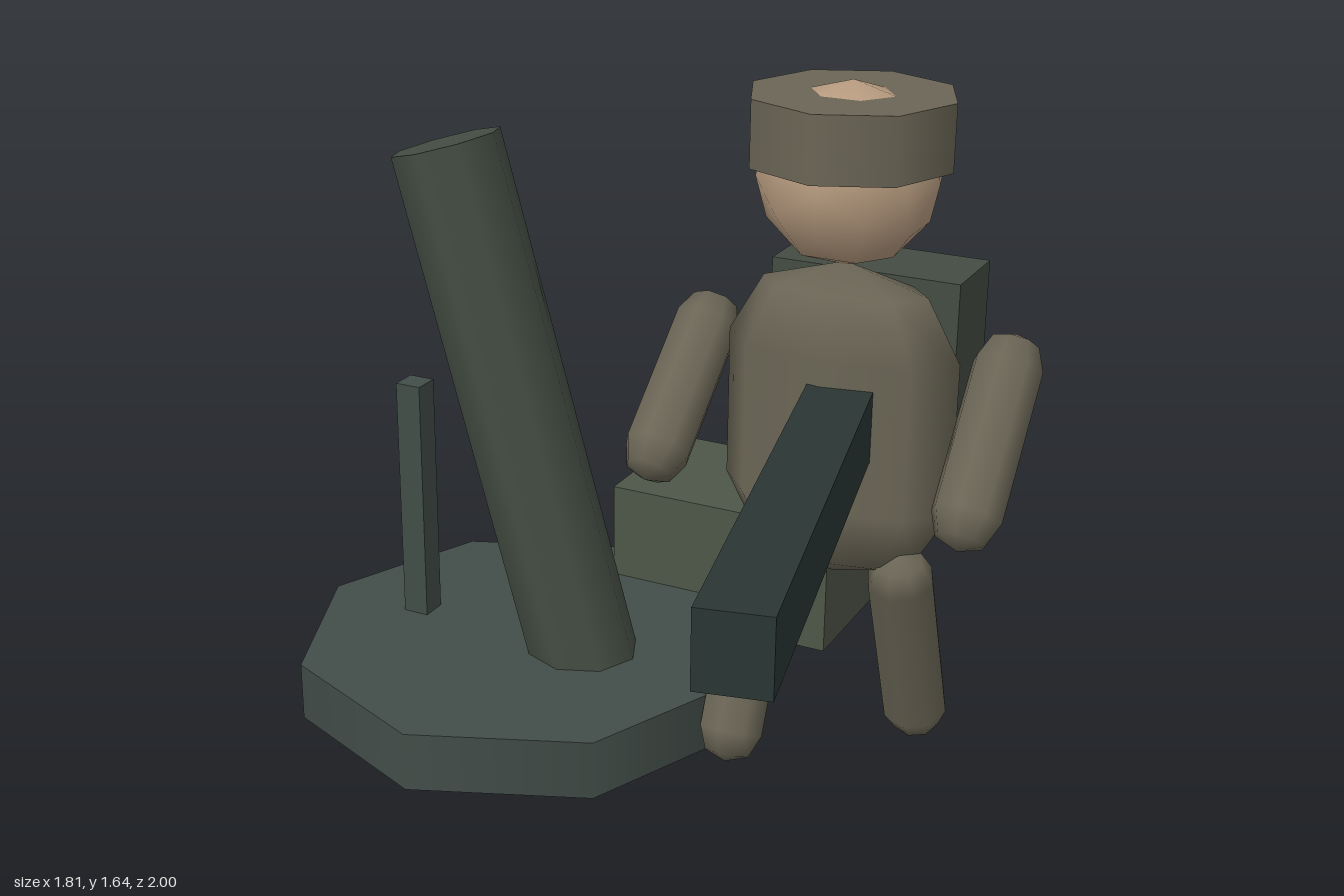
import * as THREE from 'three';

const paint = (color) => new THREE.MeshStandardMaterial({ color });

export function createModel() {
  const model = new THREE.Group();
  const uniform = paint(0x6a6555), skin = paint(0xb89c80), green = paint(0x4e5648);
  const packGreen = paint(0x434c42), plate = paint(0x424d48), gunmetal = paint(0x2a3634);

  const add = (parent, name, geometry, material, x, y, z) => {
    const mesh = new THREE.Mesh(geometry, material);
    mesh.name = name;
    mesh.position.set(x, y, z);
    parent.add(mesh);
    return mesh;
  };

  // Mortar: octagonal base plate, leaning tube and upright post
  const mortar = new THREE.Group();
  mortar.name = 'mortar';
  model.add(mortar);
  add(mortar, 'basePlate', new THREE.CylinderGeometry(0.567, 0.567, 0.145, 8), plate, -0.335, 0.0925, -0.197);
  const tube = add(mortar, 'tube', new THREE.CylinderGeometry(0.134, 0.134, 1.41, 8), packGreen, -0.335, 0.716, -0.197);
  tube.rotation.z = 0.28;
  add(mortar, 'post', new THREE.BoxGeometry(0.066, 0.67, 0.066), plate, -0.64, 0.447, -0.197);

  // Ammunition crate behind the plate
  add(model, 'crate', new THREE.BoxGeometry(0.6, 0.335, 0.4), green, 0, 0.247, -0.8);

  // Soldier
  const soldier = new THREE.Group();
  soldier.name = 'soldier';
  model.add(soldier);
  const cx = 0.47, cz = -0.195;
  const torso = add(soldier, 'torso', new THREE.CapsuleGeometry(0.268, 0.48, 2, 8), uniform, cx, 0.885, cz);
  torso.scale.set(1, 0.72, 0.475);
  add(soldier, 'head', new THREE.IcosahedronGeometry(0.2, 1), skin, cx, 1.443, cz);
  add(soldier, 'helmet', new THREE.CylinderGeometry(0.227, 0.227, 0.146, 8), uniform, cx, 1.543, cz);
  add(soldier, 'backpack', new THREE.BoxGeometry(0.44, 0.482, 0.2), packGreen, cx, 0.955, -0.412);

  // Limbs: name, centre, length between the cap centres, lean about x
  const limbs = [
    ['rightArm', 0.117, 0.925, -0.132, 0.333, -0.85],
    ['leftArm', 0.828, 0.925, -0.13, 0.34, -0.7],
    ['rightLeg', 0.305, 0.345, -0.105, 0.42, -0.4],
    ['leftLeg', 0.637, 0.345, -0.257, 0.42, 0.37],
  ];
  for (const [name, x, y, z, length, lean] of limbs) {
    const limb = add(soldier, name, new THREE.CapsuleGeometry(0.077, length, 2, 8), uniform, x, y, z);
    limb.rotation.x = lean;
  }

  // Long gun pointing forward and slightly outward
  const yaw = 0.22, gunLength = 1.2;
  const gun = add(soldier, 'gun', new THREE.BoxGeometry(0.145, 0.16, gunLength), gunmetal,
    0.75 - Math.sin(yaw) * gunLength / 2, 0.925, 0.983 - Math.cos(yaw) * gunLength / 2);
  gun.rotation.y = yaw;

  return model;
}
